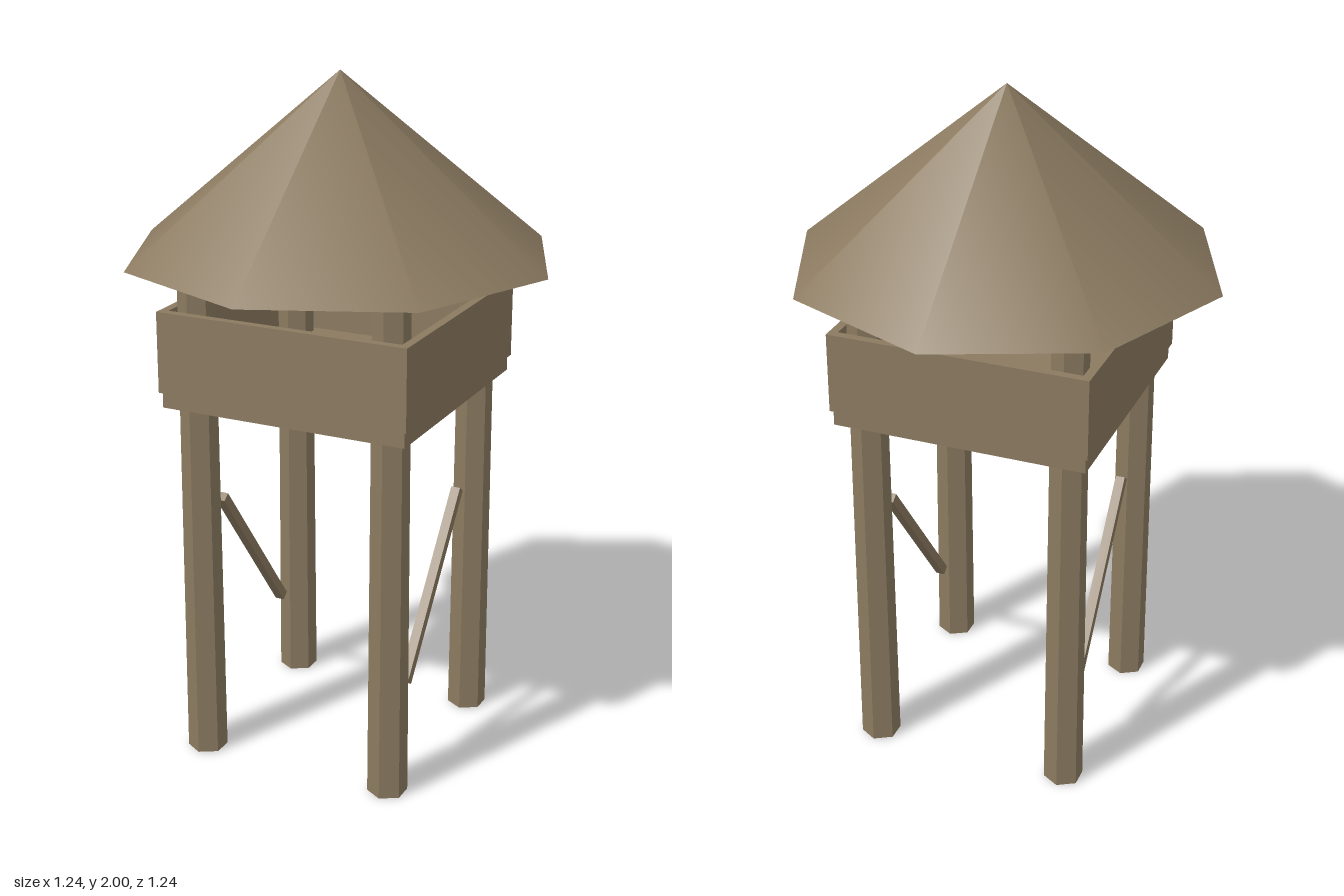
import * as THREE from 'three';

export function createModel() {
  const model = new THREE.Group();
  const wood = new THREE.MeshStandardMaterial({ color: 0x8b7a60 });
  wood.name = 'weatheredWood';

  const add = (name, geometry, x, y, z) => {
    const mesh = new THREE.Mesh(geometry, wood);
    mesh.name = name;
    mesh.position.set(x, y, z);
    model.add(mesh);
    return mesh;
  };
  // Splits shared normals so low-poly faces stay flat
  const flat = (geometry) => {
    const g = geometry.toNonIndexed();
    g.computeVertexNormals();
    return g;
  };

  // Four tapered six-sided legs running up to the roof
  const legHeight = 1.49;
  const legGeometry = flat(new THREE.CylinderGeometry(0.052, 0.058, legHeight, 6));
  for (const sx of [-1, 1]) {
    for (const sz of [-1, 1]) {
      add(`${sz > 0 ? 'front' : 'back'}${sx > 0 ? 'Left' : 'Right'}Leg`,
        legGeometry, sx * 0.297, legHeight / 2, sz * 0.297);
    }
  }

  // Platform floor
  add('platform', new THREE.BoxGeometry(0.74, 0.05, 0.74), 0, 1.11, 0);

  // Parapet panels around the platform
  const wallHeight = 0.235, wallY = 1.2475, thick = 0.025, reach = 0.378;
  for (const s of [-1, 1]) {
    const offset = s * (reach - thick / 2);
    add(s > 0 ? 'frontWall' : 'backWall',
      new THREE.BoxGeometry(reach * 2, wallHeight, thick), 0, wallY, offset);
    add(s > 0 ? 'leftWall' : 'rightWall',
      new THREE.BoxGeometry(thick, wallHeight, (reach - thick) * 2), offset, wallY, 0);
  }

  // One diagonal brace per side, slanting in opposite directions
  for (const s of [-1, 1]) {
    const brace = add(s > 0 ? 'leftBrace' : 'rightBrace',
      new THREE.BoxGeometry(0.028, 0.592, 0.028), s * 0.297, 0.525, 0);
    brace.rotation.x = -s * Math.atan2(0.36, 0.47);
  }

  // Smooth eight-sided roof with a closed underside
  add('roof', new THREE.ConeGeometry(0.62, 0.515, 8), 0, 1.7425, 0);

  return model;
}
